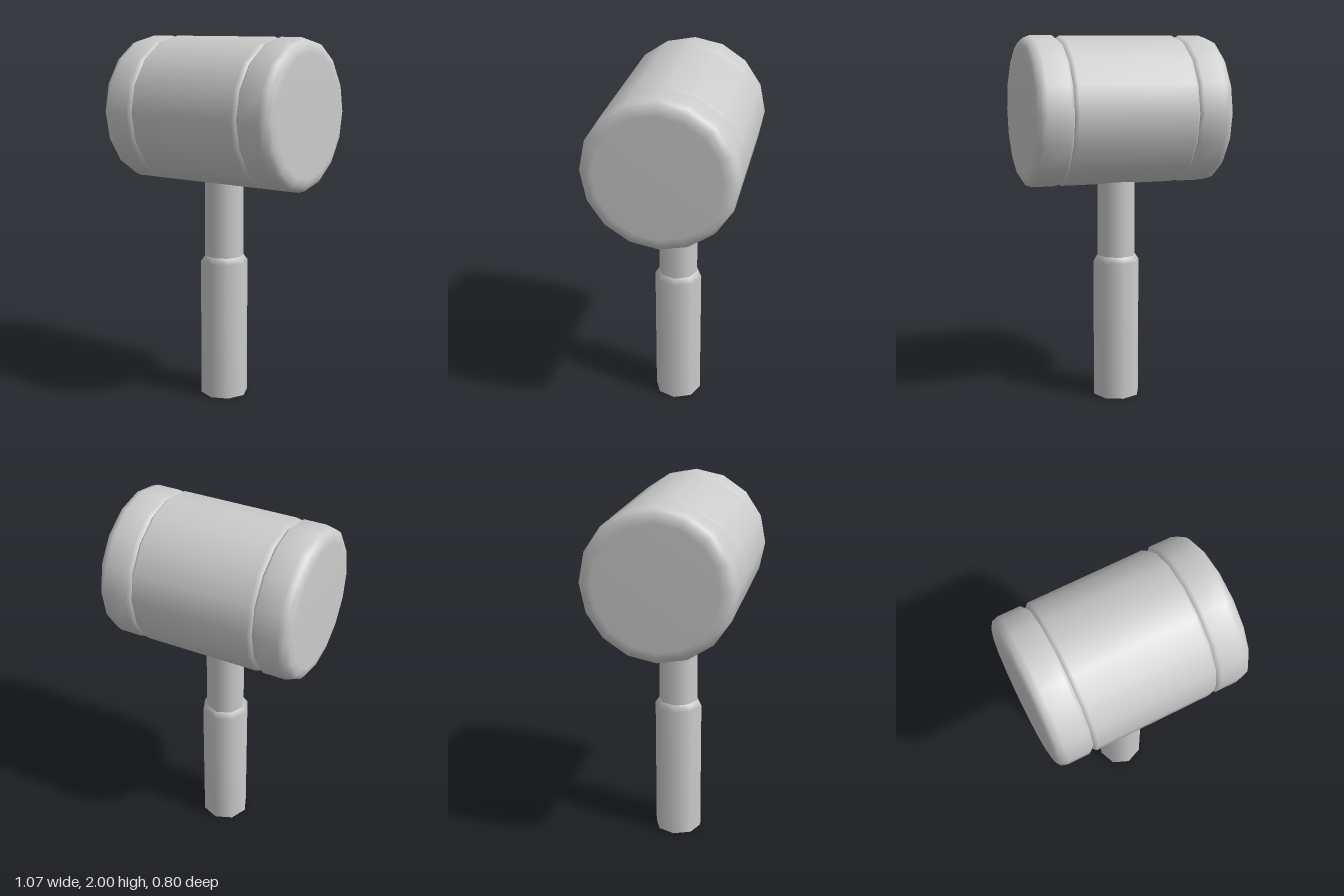
import * as THREE from 'three';

export function createModel() {
  const model = new THREE.Group();
  model.name = 'mallet';
  const grey = new THREE.MeshStandardMaterial({ color: 0xcccccc });
  grey.name = 'plain grey';

  // Turned part from [radius, height] pairs; a repeated pair gives a sharp edge
  const turned = (name, profile, sides, parent) => {
    const points = profile.map(([r, y]) => new THREE.Vector2(r, y));
    const mesh = new THREE.Mesh(new THREE.LatheGeometry(points, sides), grey);
    mesh.name = name;
    parent.add(mesh);
    return mesh;
  };

  // Handle: thick grip with a bevelled shoulder, and a thinner neck
  turned('grip', [
    [0, 0], [0.132, 0], [0.132, 0], [0.132, 0.77], [0.108, 0.803], [0.108, 0.803], [0, 0.803],
  ], 8, model);
  turned('neck', [[0.108, 0.79], [0.108, 1.3]], 8, model);

  // Head: lies along x, with bevelled grooves between barrel and end caps
  const head = new THREE.Group();
  head.name = 'head';
  head.position.y = 1.6;
  head.rotation.z = -Math.PI / 2;
  model.add(head);

  turned('barrel', [[0.38, -0.335], [0.4, -0.315], [0.4, 0.315], [0.38, 0.335]], 16, head);

  for (const side of [1, -1]) {
    const cap = turned(side > 0 ? 'leftCap' : 'rightCap', [
      [0.38, 0.335], [0.4, 0.355], [0.4, 0.475], [0.389, 0.508],
      [0.362, 0.526], [0.325, 0.533], [0, 0.533],
    ], 16, head);
    if (side < 0) cap.rotation.x = Math.PI;
  }
  return model;
}
